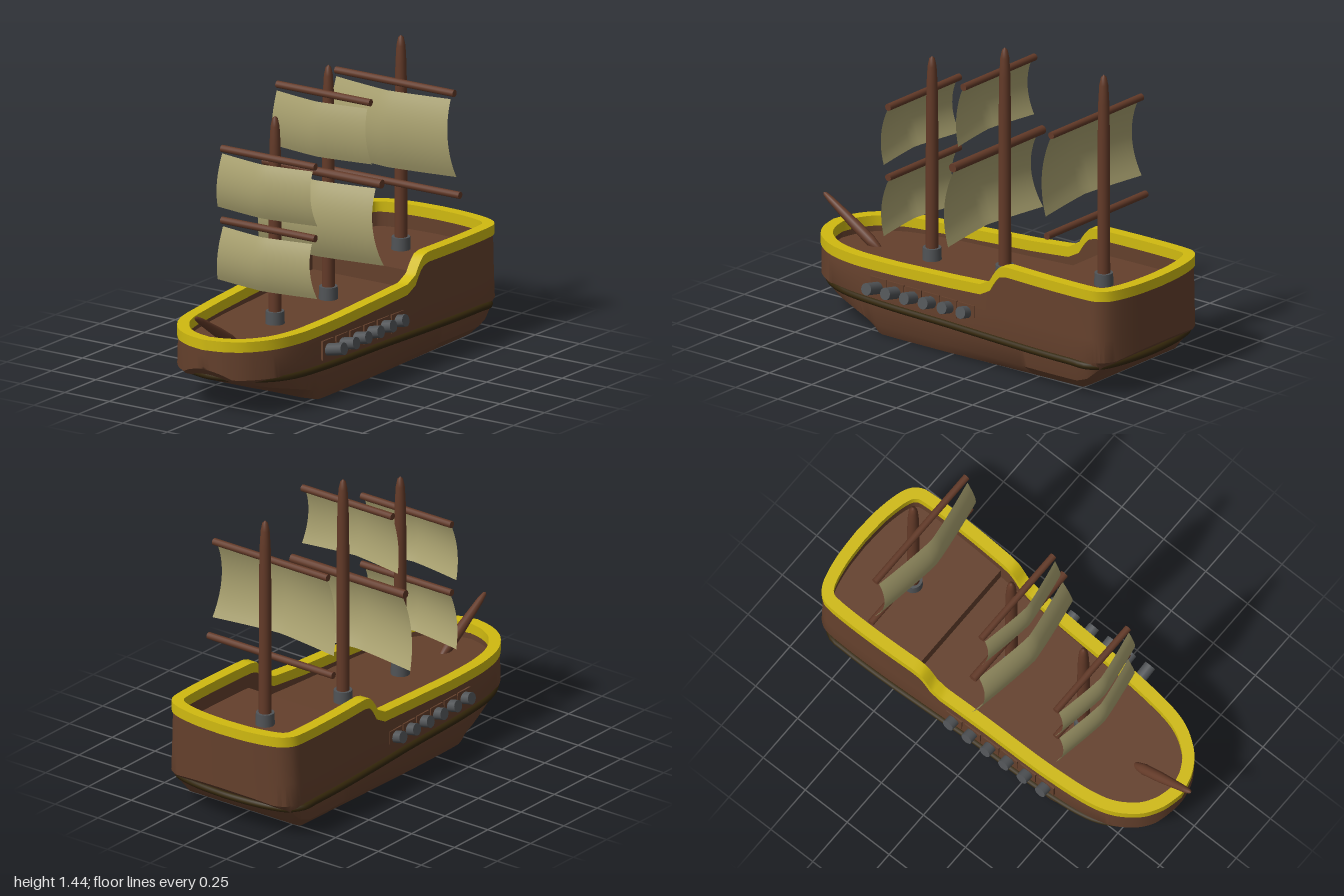
import * as THREE from 'three';
import { toCreasedNormals } from 'three/addons/utils/BufferGeometryUtils.js';

const mat = (name, color, side = THREE.FrontSide) =>
  Object.assign(new THREE.MeshStandardMaterial({ color, side }), { name });

// Linear interpolation in a short table of [key, value] pairs
function table(rows, k) {
  if (k <= rows[0][0]) return rows[0][1];
  for (let i = 1; i < rows.length; i++) {
    const [a, va] = rows[i - 1], [b, vb] = rows[i];
    if (k <= b) return va + ((vb - va) * (k - a)) / (b - a);
  }
  return rows[rows.length - 1][1];
}

// Skin stretched over rows of [x, y, z] points
function skin(rows, crease = 0.7) {
  const n = rows[0].length, index = [];
  for (let i = 0; i < rows.length - 1; i++) {
    for (let j = 0; j < n - 1; j++) {
      const a = i * n + j, b = a + 1, c = a + n, d = c + 1;
      index.push(a, b, d, a, d, c);
    }
  }
  const g = new THREE.BufferGeometry();
  g.setAttribute('position', new THREE.Float32BufferAttribute(rows.flat(2), 3));
  g.setIndex(index);
  return toCreasedNormals(g, crease);
}

// Sheer line, keel line and half width of the flat bottom, all along z
const sheer = (z) => table([[-1, 0.53], [-0.37, 0.53], [-0.33, 0.52], [-0.3, 0.49], [-0.27, 0.44],
  [-0.21, 0.408], [0, 0.392], [0.3, 0.376], [0.55, 0.366], [1, 0.366]], z);
const keel = (z) => table([[-1, 0.21], [-0.96, 0.18], [-0.92, 0.15], [-0.88, 0.1], [-0.84, 0.05],
  [-0.78, 0.02], [0.42, 0], [0.5, 0.022], [0.6, 0.06], [0.72, 0.1], [0.88, 0.165], [0.93, 0.22], [0.94, 0.26]], z);
const flat = (z) => table([[-1, 0.25], [-0.84, 0.3], [0.42, 0.3], [0.5, 0.25], [0.6, 0.19],
  [0.72, 0.12], [0.8, 0.07], [0.88, 0.01], [0.94, 0]], z);
const deckY = (z) => 0.313 - 0.031 * z;

// Half outline of the hull from stern to bow, then the full loop
const half = new THREE.SplineCurve([[0, -0.994], [0.15, -0.985], [0.28, -0.957], [0.34, -0.915], [0.36, -0.84],
  [0.362, -0.6], [0.35, -0.3], [0.335, 0], [0.322, 0.4], [0.288, 0.68], [0.21, 0.83], [0.11, 0.905], [0, 0.934],
].map(([x, z]) => new THREE.Vector2(x, z))).getSpacedPoints(120);
const loop = [...half, ...half.slice(1, -1).reverse().map((p) => new THREE.Vector2(-p.x, p.y))];

// Outline moved outwards by d
function offset(d) {
  const n = loop.length;
  return loop.map((p, i) => {
    const t = loop[(i + 1) % n].clone().sub(loop[(i + n - 1) % n]).normalize();
    return [p.x + t.y * d, p.y - t.x * d];
  });
}
const closed = (rows) => [...rows, rows[0]];

function hullGeometry() {
  return skin(half.map(({ x: w, y: z }) => {
    const b = keel(z), f = Math.min(flat(z), w * 0.9), top = sheer(z) - 0.045;
    const side = [[w, top], [w * 1.015, Math.max(b, 0.29)], [w * 1.03, Math.max(b, 0.18)],
      [f + (w - f) * 0.8, b + 0.3 * Math.max(0, 0.17 - b)], [f, b]];
    return [...side.map(([x, y]) => [-x, y, z]), [0, b, z], ...side.reverse().map(([x, y]) => [x, y, z])];
  }), 0.6);
}

function railGeometry() {
  const out = offset(0.006), inn = offset(-0.05);
  return skin(closed(out.map(([x, z], i) => {
    const [u, v] = inn[i], t = sheer(loop[i].y);
    return [[x, t - 0.05, z], [x, t, z], [u, t, v], [u, t - 0.05, v], [x, t - 0.05, z]];
  })));
}

function bulwarkGeometry() {
  return skin(closed(offset(-0.046).map(([x, z], i) => [[x, sheer(loop[i].y) - 0.03, z], [x, deckY(z) - 0.01, z]])));
}

const plan = (pts) => new THREE.Shape(pts.map(([x, z]) => new THREE.Vector2(x, -z)));

// Sail bulging forward in the middle and swept back to its sides
function sailGeometry(top, bottom, wTop, wBottom, z, bulge, sweep) {
  const rows = [];
  for (let i = 0; i <= 14; i++) {
    const v = i / 14, w = wTop + (wBottom - wTop) * v ** 1.6, row = [];
    for (let j = 0; j <= 16; j++) {
      const u = j / 8 - 1;
      row.push([u * w, top + (bottom - top) * v,
        z + bulge * 4 * v * (1 - v) + sweep * (1 - Math.abs(u) ** 1.2)]);
    }
    rows.push(row.reverse());
  }
  return skin(rows, 1);
}

export function createModel() {
  const wood = mat('hull wood', 0x64402c, THREE.DoubleSide);
  const spar = mat('spar wood', 0x633a28);
  const gold = mat('yellow rail', 0xd0ba10);
  const dark = mat('dark band', 0x33260a);
  const cloth = mat('sail cloth', 0xaaa270, THREE.DoubleSide);
  const iron = mat('iron', 0x505356);

  const model = new THREE.Group();
  model.name = 'sailingShip';
  const ship = new THREE.Group();
  ship.name = 'ship';
  ship.position.x = -0.018;
  model.add(ship);
  const add = (name, geometry, material, x = 0, y = 0, z = 0) => {
    const m = new THREE.Mesh(geometry, material);
    m.name = name;
    m.position.set(x, y, z);
    ship.add(m);
    return m;
  };

  // Hull, rail and bulwark
  add('hull', hullGeometry(), wood);
  add('rail', railGeometry(), gold);
  add('bulwark', bulwarkGeometry(), wood);

  // Rubbing band around the waterline
  const bandPath = new THREE.CatmullRomCurve3(loop.filter((_, i) => i % 4 === 0).map(({ x, y: z }) =>
    new THREE.Vector3(x * 1.035, table([[-1, 0.15], [-0.8, 0.162], [0.6, 0.168], [0.95, 0.18]], z), z * 0.953)), true);
  add('waterlineBand', new THREE.TubeGeometry(bandPath, 160, 0.017, 8, true), dark);

  // Main deck and raised quarterdeck
  const inner = offset(-0.044);
  const deck = new THREE.ShapeGeometry(plan(inner)).rotateX(-Math.PI / 2);
  const dp = deck.attributes.position;
  for (let i = 0; i < dp.count; i++) dp.setY(i, deckY(dp.getZ(i)));
  deck.computeVertexNormals();
  add('mainDeck', deck, wood);
  add('quarterdeck', new THREE.ExtrudeGeometry(plan(inner.filter((p) => p[1] < -0.385)),
    { depth: 0.11, bevelEnabled: false }).rotateX(-Math.PI / 2), wood, 0, 0.3, 0);

  // Masts with iron collars; yards as [y, z, half length, radius]
  const masts = [
    { name: 'fore', z: 0.355, base: 0.302, top: 1.3, yards: [[1.11, 0.405, 0.263, 0.017], [0.765, 0.405, 0.263, 0.017]],
      sails: [[1.09, 0.83, 0.255, 0.28, 0.416, 0.03, 0.042], [0.74, 0.48, 0.25, 0.28, 0.416, 0.03, 0.042]] },
    { name: 'main', z: -0.075, base: 0.315, top: 1.44, yards: [[1.31, -0.04, 0.263, 0.017], [0.932, -0.032, 0.332, 0.021]],
      sails: [[1.285, 1.02, 0.255, 0.28, -0.024, 0.025, 0.042], [0.91, 0.545, 0.305, 0.35, -0.02, 0.046, 0.05]] },
    { name: 'mizzen', z: -0.66, base: 0.41, top: 1.44, yards: [[1.225, -0.615, 0.333, 0.017], [0.74, -0.615, 0.365, 0.017]],
      sails: [[1.2, 0.83, 0.322, 0.354, -0.6, 0.04, 0.05]] },
  ];
  for (const { name, z, base, top, yards, sails } of masts) {
    const profile = [[0.03, base - 0.01], [0.029, top - 0.35], [0.026, top - 0.14], [0.021, top - 0.05],
      [0.013, top - 0.012], [0, top]].map(([r, y]) => new THREE.Vector2(r, y));
    add(name + 'Mast', new THREE.LatheGeometry(profile, 20), spar, 0, 0, z);
    add(name + 'MastCollar', new THREE.CylinderGeometry(0.043, 0.045, 0.06, 20), iron, 0, base + 0.03, z);
    for (const [y, yz, h, r] of yards) {
      add(name + 'Yard', new THREE.CylinderGeometry(r, r, h * 2, 14).rotateZ(Math.PI / 2), spar, 0, y, yz);
    }
    for (const s of sails) add(name + 'Sail', sailGeometry(...s), cloth);
  }

  // Bowsprit
  const sprit = [[0, 0], [0.017, 0.01], [0.026, 0.07], [0.025, 0.18], [0.016, 0.35], [0.01, 0.39], [0, 0.4]]
    .map(([r, y]) => new THREE.Vector2(r, y));
  add('bowsprit', new THREE.LatheGeometry(sprit, 16), spar, 0, 0.272, 0.658).rotation.x = 1.01;

  // Gun ports and cannons along both sides
  for (const side of [1, -1]) {
    for (let i = 0; i < 6; i++) {
      const z = 0.405 - i * 0.107;
      const w = table([[-0.2, 0.345], [0, 0.337], [0.4, 0.325]], z) + 0.006;
      add('gunPort', new THREE.BoxGeometry(0.009, 0.092, 0.092), wood, side * w, 0.247, z);
      const end = side > 0 ? 0.4 + 0.05 * z : 0.388 - 0.03 * z;
      const gun = add('cannon', new THREE.CylinderGeometry(0.029, 0.029, 0.13, 18).rotateZ(Math.PI / 2), iron,
        side * (end - 0.06), 0.25, z);
      gun.rotation.z = side * 0.2;
    }
  }
  return model;
}
